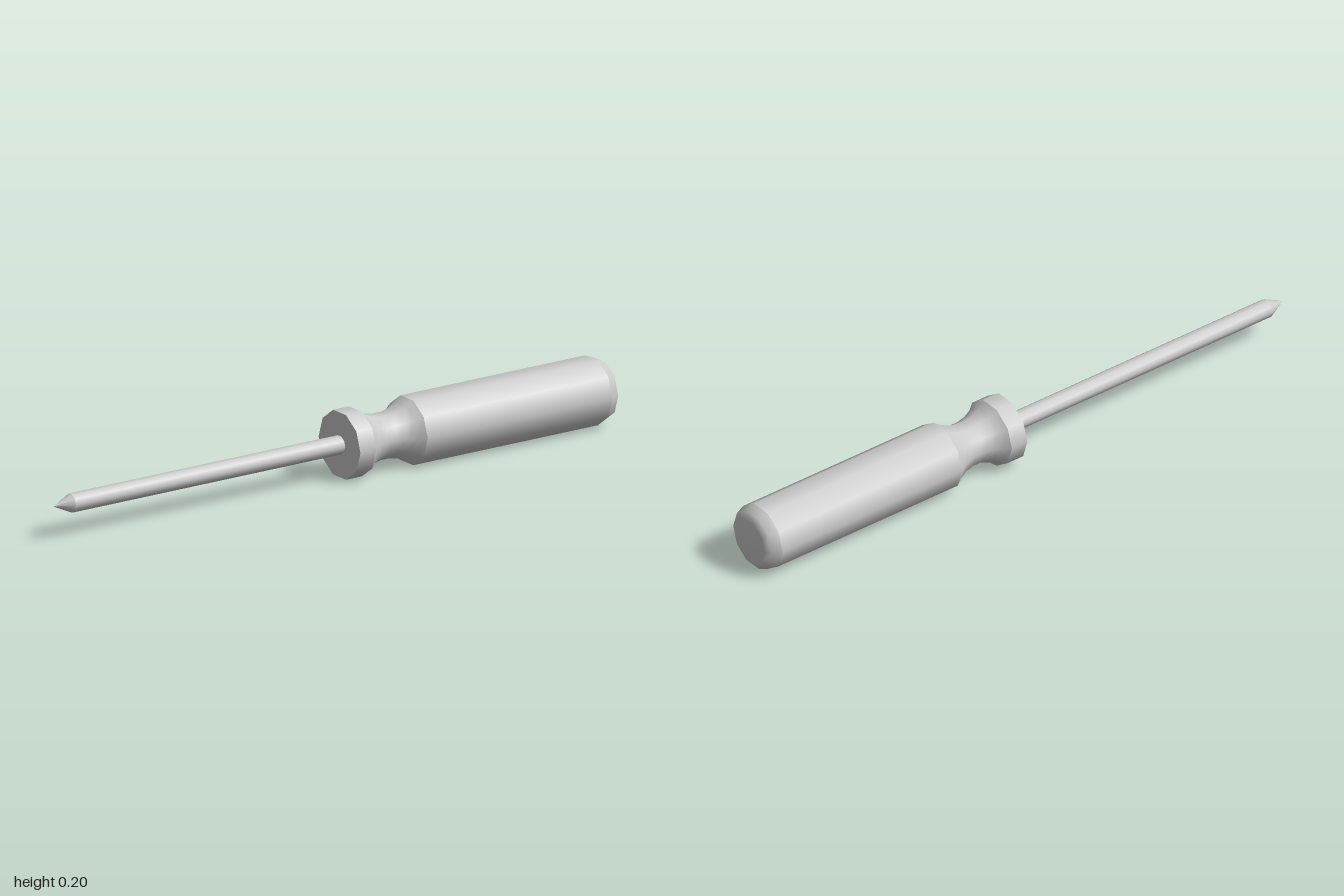
import * as THREE from 'three';

const SIDES = 10;
const AXIS_Y = 0.1;

// Ten-sided turned part along z; profile is [radius, z] from back to front
function turned(name, profile, material) {
  const points = profile.map(([r, z]) => new THREE.Vector2(r, z));
  const geometry = new THREE.LatheGeometry(points, SIDES, Math.PI / 2);
  geometry.rotateX(Math.PI / 2);
  geometry.translate(0, AXIS_Y, 0);
  const mesh = new THREE.Mesh(geometry, material);
  mesh.name = name;
  return mesh;
}

export function createModel() {
  const grey = new THREE.MeshStandardMaterial({ color: 0xcccccc });
  const model = new THREE.Group();
  model.name = 'screwdriver';

  // Handle: grip with a rounded butt, waisted neck and front collar
  const handle = new THREE.Group();
  handle.name = 'handle';
  const R = 0.105;
  handle.add(
    turned('butt', [[0, -1], [0.072, -1], [0.093, -0.987], [R, -0.957]], grey),
    turned('grip', [[R, -0.957], [R, -0.285]], grey),
    turned('neck', [
      [R, -0.285], [0.089, -0.262], [0.076, -0.235], [0.07, -0.205],
      [0.07, -0.175], [0.076, -0.145], [0.088, -0.118], [R, -0.098],
    ], grey),
    turned('collar', [[R, -0.098], [R, -0.04]], grey),
    turned('collarFace', [[R, -0.04], [0, -0.04]], grey),
  );

  // Blade: long shaft with a pointed tip
  const blade = new THREE.Group();
  blade.name = 'blade';
  const r = 0.029;
  blade.add(
    turned('shaft', [[r, -0.04], [r, 0.94]], grey),
    turned('tip', [[r, 0.94], [0, 1]], grey),
  );

  model.add(handle, blade);
  return model;
}
